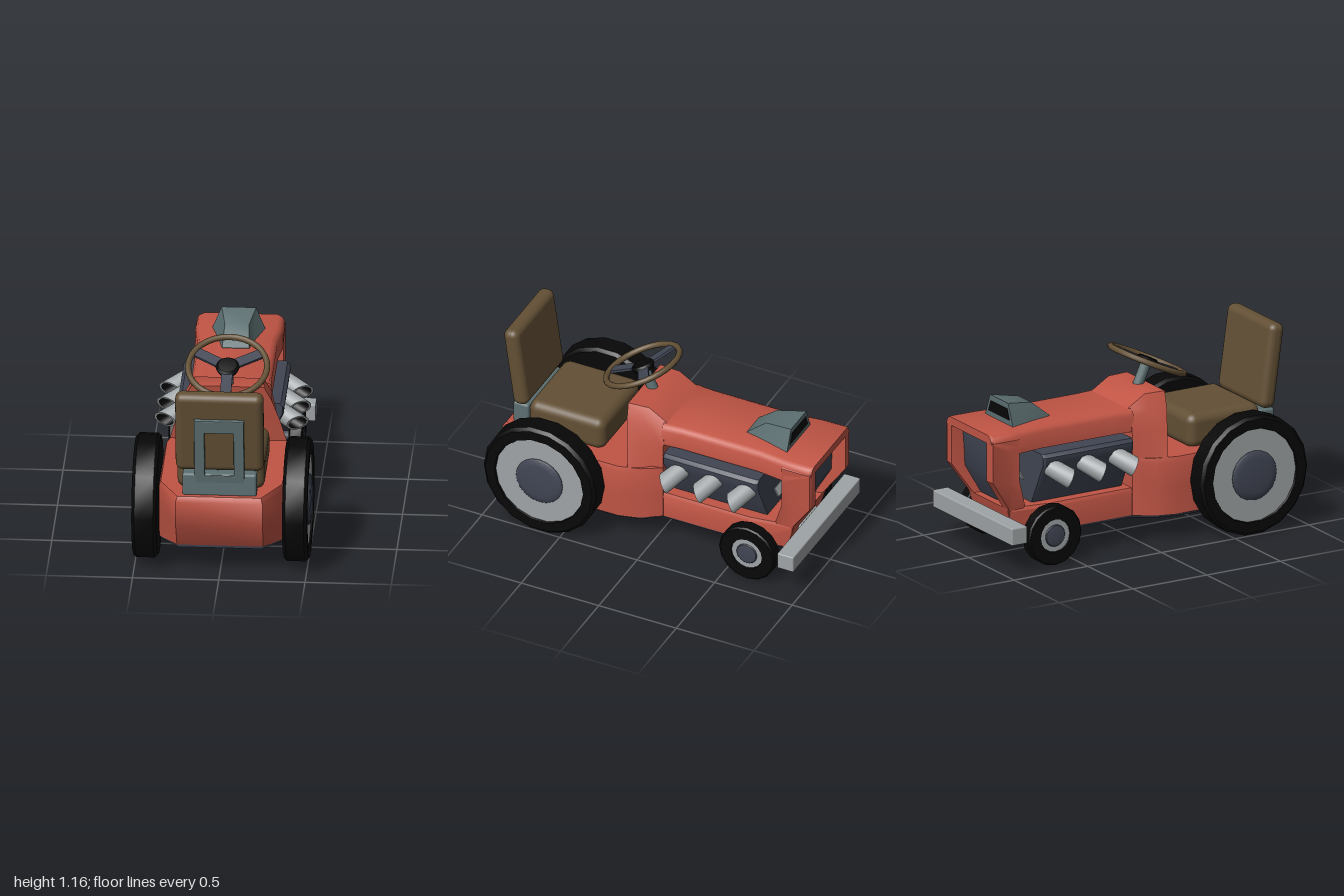
import * as THREE from 'three';
import { toCreasedNormals } from 'three/addons/utils/BufferGeometryUtils.js';
import { RoundedBoxGeometry } from 'three/addons/geometries/RoundedBoxGeometry.js';

const mat = (name, color) => Object.assign(new THREE.MeshStandardMaterial({ color }), { name });

// Closed skin over matching rings of [x, y, z] points, turned outward by its signed volume
function loft(rings, crease = 0.5) {
  const n = rings[0].length, pos = rings.flat(2), idx = [];
  for (let i = 0; i < rings.length - 1; i++) for (let j = 0; j < n; j++) {
    const a = i * n + j, b = i * n + (j + 1) % n;
    idx.push(a, b, b + n, a, b + n, a + n);
  }
  [0, rings.length - 1].forEach((r) => {
    const c = pos.length / 3;
    for (let k = 0; k < 3; k++) pos.push(rings[r].reduce((s, p) => s + p[k], 0) / n);
    for (let j = 0; j < n; j++) {
      const a = r * n + j, b = r * n + (j + 1) % n;
      idx.push(...(r === 0 ? [c, b, a] : [c, a, b]));
    }
  });
  const v = (i) => new THREE.Vector3().fromArray(pos, i * 3);
  let vol = 0;
  for (let i = 0; i < idx.length; i += 3) vol += v(idx[i]).dot(v(idx[i + 1]).cross(v(idx[i + 2])));
  if (vol < 0) idx.reverse();
  const g = new THREE.BufferGeometry();
  g.setAttribute('position', new THREE.Float32BufferAttribute(pos, 3));
  g.setIndex(idx);
  return toCreasedNormals(g, crease);
}

// Full symmetric ring from the right-hand half
const mirror = (half) => [...half, ...half.map(([x, y, z]) => [-x, y, z]).reverse()];
const lathe = (pts, seg) => toCreasedNormals(
  new THREE.LatheGeometry(pts.map(([r, y]) => new THREE.Vector2(r, y)), seg), 0.6);

export function createModel() {
  const root = new THREE.Group();
  root.name = 'tractor';
  const red = mat('red paint', 0xc15545), brown = mat('brown leather', 0x635035);
  const teal = mat('slate metal', 0x5d7072), grey = mat('light grey metal', 0x9fa4a6);
  const navy = mat('dark blue grey', 0x414654), black = mat('black rubber', 0x070707);

  const add = (name, geo, m, p = [0, 0, 0], r = [0, 0, 0], parent = root) => {
    const mesh = new THREE.Mesh(geo, m);
    mesh.name = name;
    mesh.position.set(...p);
    mesh.rotation.set(...r);
    parent.add(mesh);
    return mesh;
  };
  const box = (w, h, d, r = 0.012) => new RoundedBoxGeometry(w, h, d, 2, r);

  // Rear tub, lofted upward from its plan outline
  const tubPlan = (y, w, back) => mirror([
    [0.25, y, -0.045], [w - 0.035, y, 0.07], [w, y, 0.2], [w, y, 0.76], [w - 0.11, y, back]]);
  add('rearTub', loft([
    tubPlan(0.165, 0.36, 0.88), tubPlan(0.33, 0.362, 0.975),
    tubPlan(0.48, 0.362, 0.99), tubPlan(0.51, 0.352, 0.97)], 0.75), red);

  // Front chassis below the engine bay, narrowing to the nose
  const deck = (y, w, nose) => mirror([[w, y, 0.03], [w, y, -0.6], [w - 0.04, y, nose]]);
  add('frontChassis', loft([
    deck(0.165, 0.245, -0.82), deck(0.31, 0.25, -0.865), deck(0.33, 0.24, -0.87)]), red);

  // Dark floor under the whole body
  const floor = (y, s) => mirror([
    [0.2 * s, y, -0.81], [0.245 * s, y, -0.6], [0.245 * s, y, -0.04], [0.325 * s, y, 0.07],
    [0.36 * s, y, 0.2], [0.36 * s, y, 0.76], [0.25 * s, y, 0.875]]);
  add('floor', loft([floor(0.148, 0.96), floor(0.168, 1)], 0.9), navy);

  // Cowl rising from the tub to the dashboard
  add('cowl', loft([
    mirror([[0.25, 0.3, -0.045], [0.25, 0.66, -0.045], [0.237, 0.75, -0.045], [0.2, 0.8, -0.045]]),
    mirror([[0.31, 0.49, 0.07], [0.275, 0.66, 0.07], [0.248, 0.79, 0.07], [0.2, 0.87, 0.07]]),
    mirror([[0.342, 0.5, 0.14], [0.3, 0.65, 0.163], [0.255, 0.78, 0.187], [0.21, 0.87, 0.2]]),
  ], 0.75), red);

  // Hood with rounded shoulders, its lower edge cut back at the nose
  const hood = (z, w, yb) => mirror([
    [w, yb, z], [w - 0.003, 0.765, z], [w - 0.015, 0.788, z], [w - 0.038, 0.8, z]]);
  add('hood', loft([
    hood(-0.03, 0.245, 0.67), hood(-0.15, 0.235, 0.67), hood(-0.65, 0.235, 0.67),
    hood(-0.82, 0.255, 0.67), hood(-0.985, 0.258, 0.745), hood(-1, 0.248, 0.75)], 0.75), red);

  // Nose pillars either side of the recessed grille, tapering downward
  const pillar = [[-1, 0.77], [-1, 0.52], [-0.87, 0.33], [-0.82, 0.17], [-0.75, 0.33], [-0.81, 0.5], [-0.81, 0.77]];
  const pillarRing = (side, x, s) => pillar.map(([z, y]) => [
    side * (x - Math.max(0, 0.5 - y) * 0.2), 0.5 + (y - 0.5) * s, -0.87 + (z + 0.87) * s]);
  for (const s of [1, -1]) add('nosePillar',
    loft([pillarRing(s, 0.195, 1), pillarRing(s, 0.242, 1), pillarRing(s, 0.257, 0.95)]), red);

  // Grille with the black radiator behind it
  const screen = (front, thick) => loft([[0.32, -0.82], [0.5, -0.915], [0.74, -0.925]].map(
    ([y, z]) => mirror([[0.2, y, z + front], [0.2, y, z + front + thick]])));
  add('grille', screen(0, 0.009), navy);
  add('radiator', screen(0.01, 0.008), black);

  // Engine block, wider at the top
  const block = (z, s) => mirror([
    [0.17 * s, 0.32, z], [0.305 * s, 0.58, z], [0.31 * s, 0.63, z], [0.29 * s, 0.65, z]]);
  add('engineBlock', loft([block(-0.68, 0.97), block(-0.665, 1), block(-0.085, 1), block(-0.07, 0.97)]), navy);

  // Exhaust stubs, cut off at a slant, with dark bores
  const exhaust = (s, z) => {
    const d = new THREE.Vector3(s * 0.8, -0.36, 0.46).normalize();
    const n = new THREE.Vector3(s * 0.38, -0.42, 0.82).normalize();
    const q = new THREE.Quaternion().setFromUnitVectors(new THREE.Vector3(0, 1, 0), d);
    const skin = (name, pts, m) => {
      const g = new THREE.LatheGeometry(pts.map(([r, y]) => new THREE.Vector2(r, y)), 16);
      const p = g.attributes.position;
      for (let i = 0; i < p.count; i++) {
        const v = new THREE.Vector3().fromBufferAttribute(p, i), end = Math.abs(v.y) < 1e-4;
        v.applyQuaternion(q);
        if (end) v.addScaledVector(d, -n.dot(v) / n.dot(d));
        p.setXYZ(i, v.x, v.y, v.z);
      }
      add(name, toCreasedNormals(g, 0.6), m, [s * 0.385, 0.51, z]);
    };
    skin('exhaustStub', [[0.054, -0.16], [0.058, 0], [0.045, 0]], grey);
    skin('exhaustBore', [[0.045, 0], [0.04, -0.08], [0, -0.08]], black);
  };
  for (const s of [1, -1]) for (let i = 0; i < 3; i++) exhaust(s, -0.115 - i * 0.217);

  // Cooling fan
  add('fanShaft', new THREE.CylinderGeometry(0.016, 0.016, 0.1, 10), grey, [0, 0.49, -0.7], [Math.PI / 2, 0, 0]);
  for (let i = 0; i < 4; i++) {
    const blade = new THREE.BoxGeometry(0.055, 0.135, 0.008).rotateY(0.5).translate(0, 0.085, 0);
    add('fanBlade', blade, grey, [0, 0.49, -0.727], [0, 0, i * Math.PI / 2]);
  }

  // Hood scoop and its dark mouth
  const scoop = (z, wb, wt, y) => mirror([[wb, 0.79, z], [wt, y, z]]);
  add('hoodScoop', loft([
    scoop(-0.5, 0.08, 0.078, 0.803), scoop(-0.62, 0.107, 0.07, 0.9), scoop(-0.795, 0.157, 0.1, 0.93)], 0.7), teal);
  const mouth = (z) => mirror([[0.118, 0.83, z], [0.092, 0.895, z]]);
  add('scoopMouth', loft([mouth(-0.794), mouth(-0.798)]), black);

  // Bumper
  add('bumper', box(0.88, 0.105, 0.105, 0.008), grey, [0, 0.237, -0.925]);
  add('bumperMount', box(0.22, 0.05, 0.1), grey, [0, 0.245, -0.85]);

  // Wheels: tyre closed on the inner side, rim and domed hub outside
  const wheel = (name, s, x, y, z, r, h, ri, rh, seg) => {
    const g = new THREE.Group();
    g.name = name;
    g.position.set(s * x, y, z);
    g.rotation.z = -s * Math.PI / 2;
    root.add(g);
    const b = r * 0.05;
    add('tyre', lathe([[0, -h], [r - b, -h], [r, -h + b], [r, h - b],
      [r - b, h], [ri + b * 0.3, h], [ri, h * 0.8]], seg), black, undefined, undefined, g);
    add('rim', new THREE.CylinderGeometry(ri + 0.005, ri + 0.005, h * 0.85, seg), grey, [0, h * 0.425, 0], undefined, g);
    add('hub', lathe([[rh, 0], [rh, h * 0.9], [rh * 0.93, h * 1.02], [rh * 0.7, h * 1.08], [0, h * 1.1]], 20),
      navy, undefined, undefined, g);
  };
  for (const s of [1, -1]) {
    wheel('rearWheel', s, 0.437, 0.363, 0.63, 0.363, 0.072, 0.28, 0.15, 18);
    wheel('frontWheel', s, 0.348, 0.18, -0.65, 0.18, 0.041, 0.097, 0.066, 16);
  }
  add('frontAxle', new THREE.CylinderGeometry(0.03, 0.03, 0.66, 12), navy, [0, 0.19, -0.65], [0, 0, Math.PI / 2]);
  add('rearAxle', new THREE.CylinderGeometry(0.05, 0.05, 0.78, 12), navy, [0, 0.363, 0.63], [0, 0, Math.PI / 2]);

  // Seat cushion, leaning backrest and its bracket
  add('seatCushion', new RoundedBoxGeometry(0.507, 0.21, 0.49, 4, 0.055), brown, [0, 0.597, 0.587]);
  const back = new THREE.Group();
  back.name = 'backrest';
  back.position.set(0, 0.907, 0.914);
  back.rotation.x = 0.14;
  root.add(back);
  add('backCushion', new RoundedBoxGeometry(0.512, 0.51, 0.098, 4, 0.042), brown, undefined, undefined, back);
  const rect = (P, w, y0, y1) => {
    const p = new P();
    p.moveTo(-w, y0); p.lineTo(w, y0); p.lineTo(w, y1); p.lineTo(-w, y1); p.closePath();
    return p;
  };
  const frame = rect(THREE.Shape, 0.139, -0.31, 0.1);
  frame.holes.push(rect(THREE.Path, 0.09, -0.27, 0.027));
  add('backFrame', new THREE.ExtrudeGeometry(frame, {
    depth: 0.016, bevelThickness: 0.006, bevelSize: 0.006, bevelSegments: 2 }), teal, [0, 0, 0.05], undefined, back);
  add('seatBracket', box(0.43, 0.14, 0.1, 0.014), teal, [0, 0.573, 0.892]);

  // Steering wheel on its column
  const steer = new THREE.Group();
  steer.name = 'steeringWheel';
  steer.position.set(0, 1.0, 0.21);
  steer.rotation.x = 0.43;
  root.add(steer);
  add('steeringRing', new THREE.TorusGeometry(0.229, 0.018, 10, 32), brown, undefined, [Math.PI / 2, 0, 0], steer);
  add('steeringHub', lathe([[0, -0.025], [0.06, -0.025], [0.07, 0], [0.055, 0.016], [0, 0.02]], 20), black, undefined, undefined, steer);
  for (let i = 0; i < 3; i++) add('steeringSpoke',
    new THREE.BoxGeometry(0.064, 0.016, 0.19).translate(0, -0.004, 0.13), navy, undefined, [0, i * Math.PI * 2 / 3, 0], steer);
  add('steeringColumn', new THREE.CylinderGeometry(0.032, 0.032, 0.22, 14), teal, [0, -0.12, 0], undefined, steer);

  return root;
}
